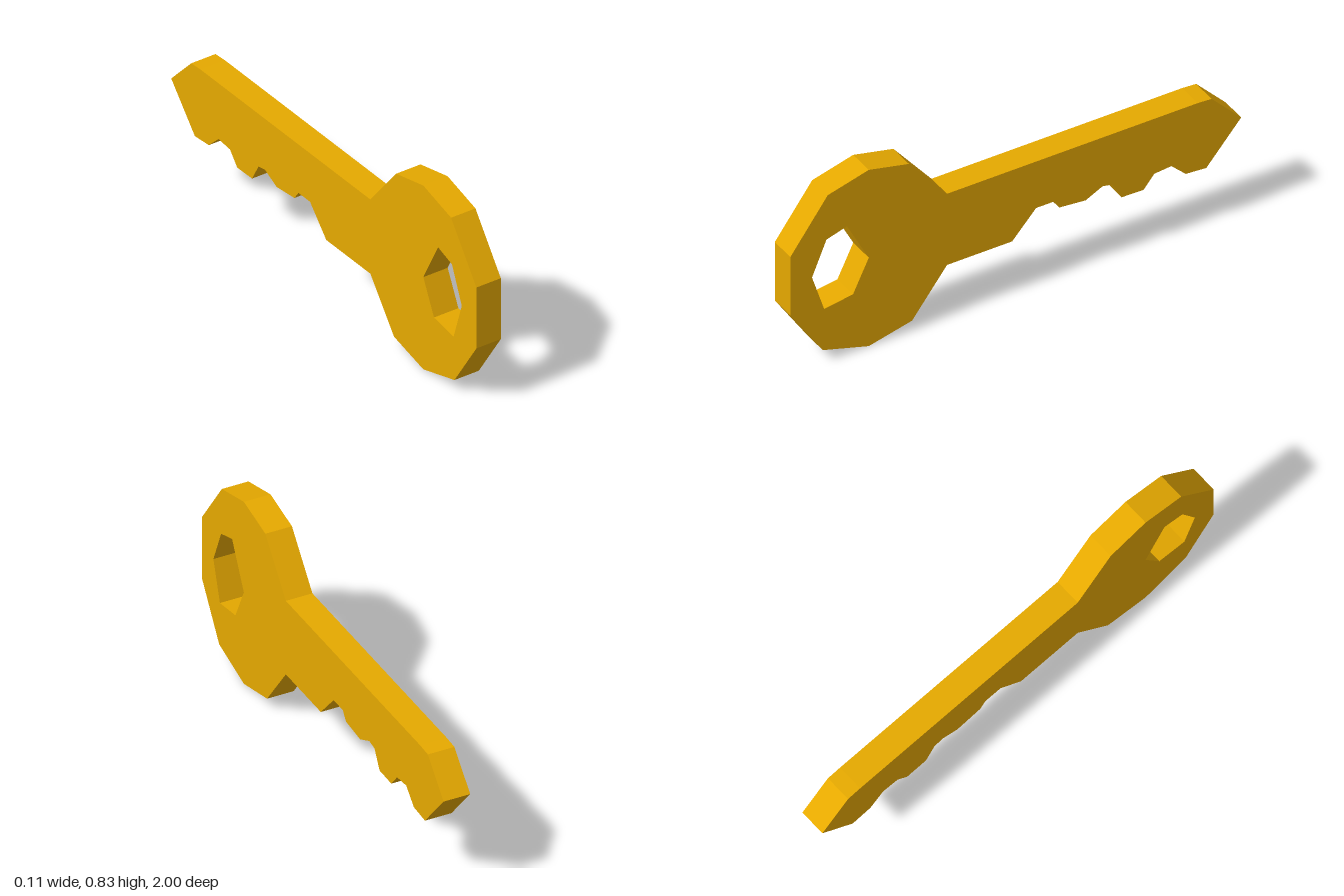
import * as THREE from 'three';

const THICKNESS = 0.113;

// Side profile as [distance toward the back, height], clockwise
const bow = [
  [-0.305, 0.248], [-0.46, 0.046], [-0.652, 0], [-0.856, 0.059], [-1, 0.277],
  [-1, 0.551], [-0.834, 0.778], [-0.652, 0.827], [-0.474, 0.787], [-0.305, 0.582],
];
const bladeTip = [[0.807, 0.582], [0.869, 0.578], [1, 0.441], [0.845, 0.263]];
const teeth = [
  [0.754, 0.27], [0.69, 0.331], [0.615, 0.324], [0.567, 0.267], [0.47, 0.269],
  [0.428, 0.345], [0.385, 0.353], [0.31, 0.316], [0.193, 0.327], [0.166, 0.364],
  [0.09, 0.364], [-0.016, 0.248],
];
// Counter-clockwise, so that the inner walls face into the hole
const ringHole = [
  [-0.85, 0.25], [-0.722, 0.27], [-0.652, 0.415],
  [-0.749, 0.6], [-0.84, 0.571], [-0.904, 0.418],
];

const toPoints = (list) => list.map(([u, y]) => new THREE.Vector2(u, y));

export function createModel() {
  const group = new THREE.Group();
  group.name = 'key';

  // Bow, blade and teeth are one flat plate with a hole for the ring
  const shape = new THREE.Shape(toPoints([...bow, ...bladeTip, ...teeth]));
  shape.holes.push(new THREE.Path(toPoints(ringHole)));

  const geometry = new THREE.ExtrudeGeometry(shape, { depth: THICKNESS, bevelEnabled: false });
  geometry.translate(0, 0, -THICKNESS / 2);
  geometry.rotateY(Math.PI / 2); // the blade points to -z

  const material = new THREE.MeshStandardMaterial({ color: 0xe6a900, flatShading: true });
  const plate = new THREE.Mesh(geometry, material);
  plate.name = 'keyPlate';
  group.add(plate);
  return group;
}
